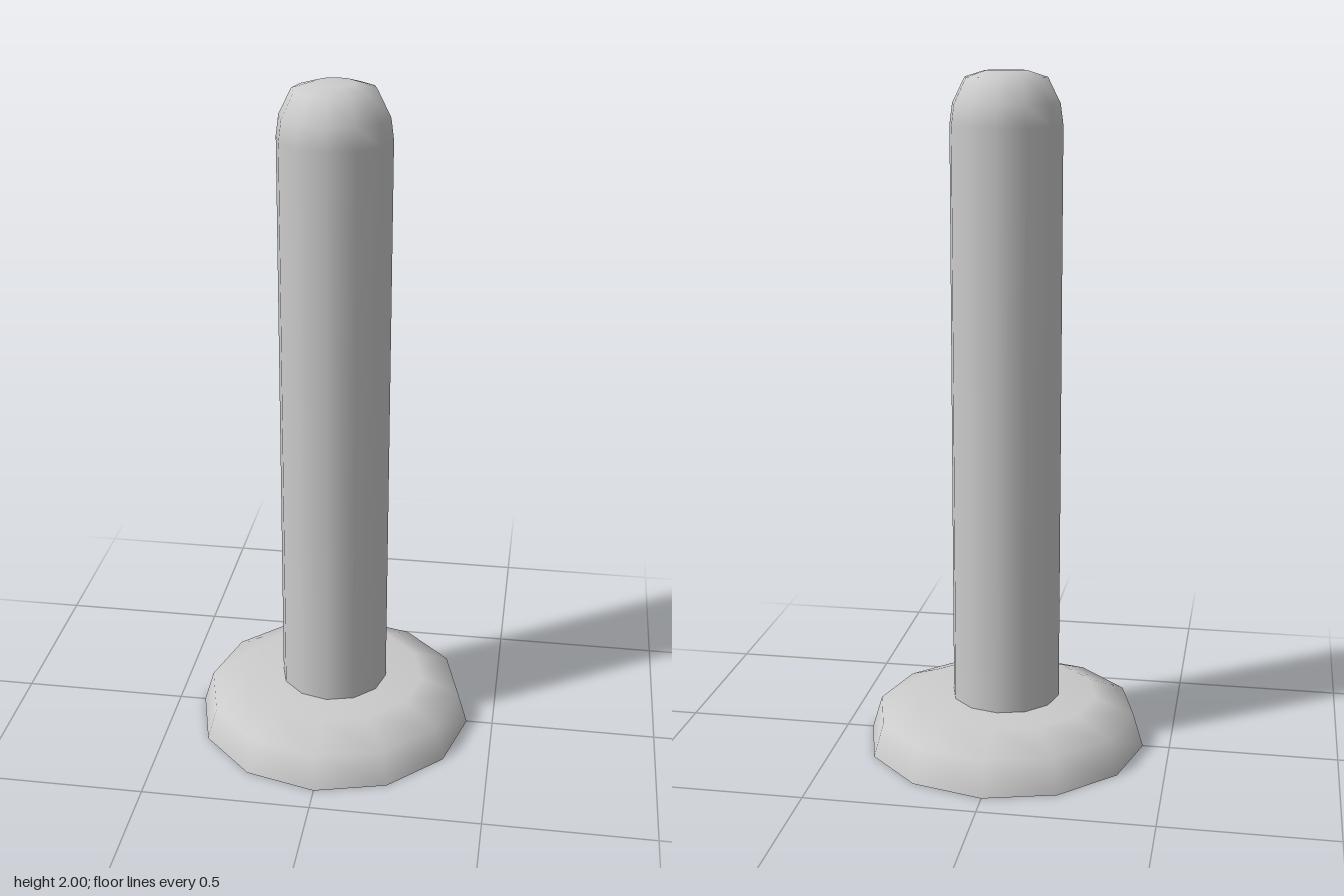
import * as THREE from 'three';

const SIDES = 12;

export function createModel() {
  const group = new THREE.Group();
  const material = new THREE.MeshStandardMaterial({ color: 0xcccccc });

  // Twelve-sided turned part from a bottom-to-top [radius, height] profile
  const turned = (name, profile) => {
    const points = profile.map(([r, y]) => new THREE.Vector2(r, y));
    const mesh = new THREE.Mesh(new THREE.LatheGeometry(points, SIDES), material);
    mesh.name = name;
    group.add(mesh);
  };

  // Flared foot with a bevelled shoulder
  turned('foot', [[0.42, 0], [0.39, 0.1], [0.275, 0.147], [0, 0.147]]);

  // Flat underside, kept separate so its rim stays sharp
  turned('footUnderside', [[0, 0], [0.42, 0]]);

  // Upright post with a rounded tip
  turned('post', [
    [0.162, 0.14], [0.162, 1.85], [0.154, 1.91],
    [0.118, 1.982], [0.06, 2], [0, 2],
  ]);

  return group;
}
